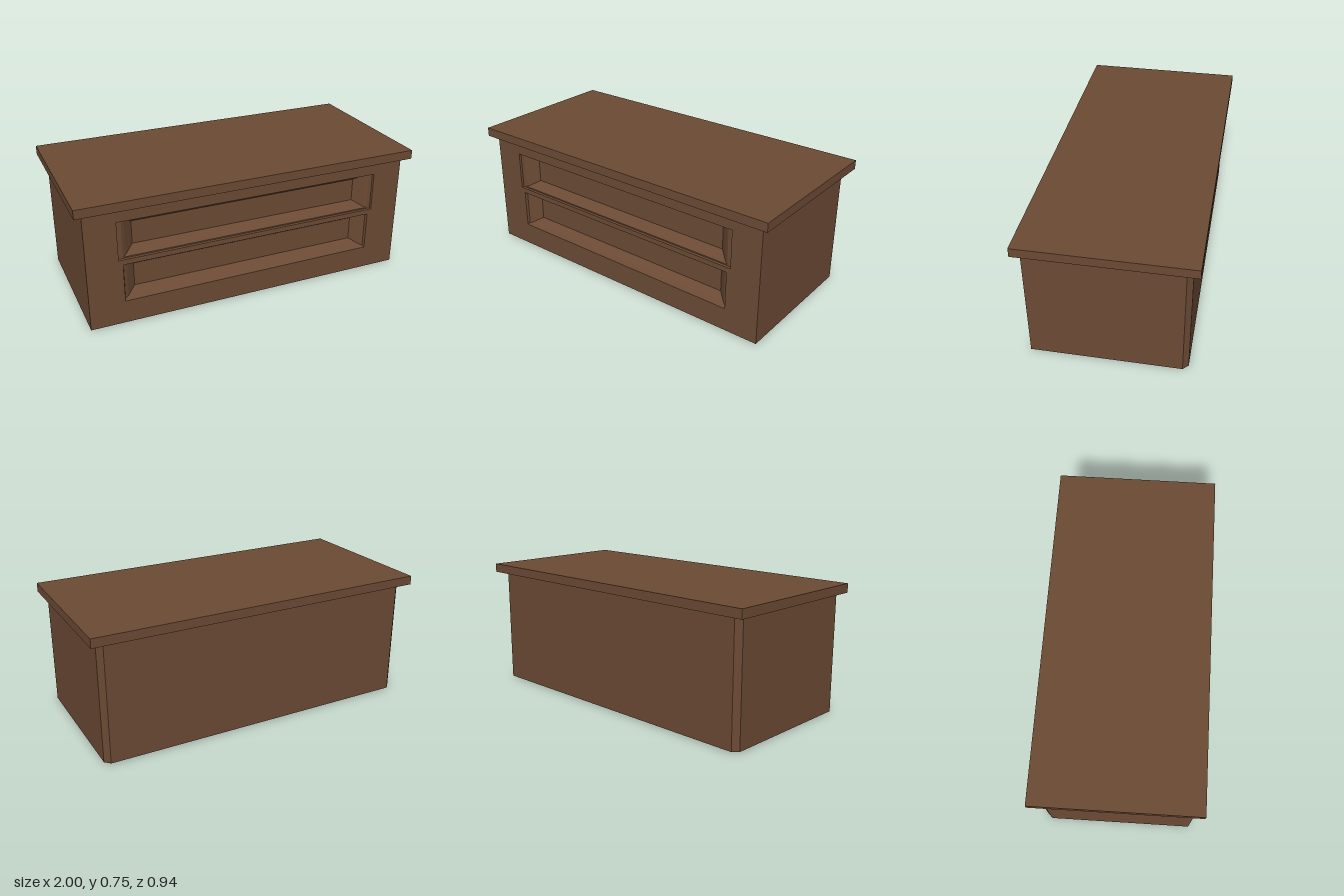
import * as THREE from 'three';

// Flat-shaded skin through a list of rings (arrays of [x, y, z], counter-clockwise).
// skip(level, side) leaves a side open; capStart / capEnd close the ends.
function loft(rings, { capStart = false, capEnd = false, skip = () => false } = {}) {
  const pos = [];
  const tri = (a, b, c) => pos.push(...a, ...b, ...c);
  const n = rings[0].length;
  for (let r = 0; r < rings.length - 1; r++) {
    const a = rings[r], b = rings[r + 1];
    for (let i = 0; i < n; i++) {
      if (skip(r, i)) continue;
      const j = (i + 1) % n;
      tri(a[i], a[j], b[j]);
      tri(a[i], b[j], b[i]);
    }
  }
  const first = rings[0], last = rings[rings.length - 1];
  for (let i = 1; i < n - 1; i++) {
    if (capStart) tri(first[0], first[i + 1], first[i]);
    if (capEnd) tri(last[0], last[i], last[i + 1]);
  }
  const g = new THREE.BufferGeometry();
  g.setAttribute('position', new THREE.Float32BufferAttribute(pos, 3));
  g.computeVertexNormals();
  return g;
}

const W = 0.955, D = 0.43, H = 0.697, BASE = 0.005;

// Horizontal rectangle, and upright rectangle facing the front
const flatRect = (x, z, y) => [[-x, y, z], [x, y, z], [x, y, -z], [-x, y, -z]];
const faceRect = ([x, y0, y1, depth]) => {
  const z = D - depth;
  return [[-x, y0, z], [x, y0, z], [x, y1, z], [-x, y1, z]];
};

// Floor plan of the body with chamfered back corners
const plan = (y, sx = 1, sz = 1) =>
  [[-W, D], [W, D], [W, -0.4], [0.925, -D], [-0.925, -D], [-W, -0.4]].map(([x, z]) => [x * sx, y, z * sz]);

// Recessed drawer panels: half width, bottom, top, depth, from rim to floor
const drawers = {
  upperDrawer: [
    [0.778, 0.395, 0.62, 0],
    [0.775, 0.398, 0.618, 0.012],
    [0.75, 0.405, 0.616, 0.012],
    [0.73, 0.413, 0.613, 0.025],
    [0.68, 0.444, 0.578, 0.07],
  ],
  lowerDrawer: [
    [0.755, 0.14, 0.365, 0],
    [0.75, 0.146, 0.362, 0.015],
    [0.73, 0.155, 0.358, 0.025],
    [0.68, 0.185, 0.322, 0.07],
  ],
};

export function createModel() {
  const group = new THREE.Group();
  const wood = new THREE.MeshStandardMaterial({ color: 0x6b4a34 });
  wood.name = 'brown wood';
  const add = (name, geometry) => {
    const mesh = new THREE.Mesh(geometry, wood);
    mesh.name = name;
    group.add(mesh);
  };

  // Body sides, back and slightly bevelled base; the front is a separate panel
  add('body', loft([plan(0, 0.99, 0.955), plan(BASE), plan(H)], {
    capStart: true,
    skip: (level, side) => level === 1 && side === 0,
  }));

  // Front panel with an opening for each drawer
  const front = new THREE.Shape([
    new THREE.Vector2(-W, BASE), new THREE.Vector2(W, BASE),
    new THREE.Vector2(W, H), new THREE.Vector2(-W, H),
  ]);
  for (const rings of Object.values(drawers)) {
    const rim = faceRect(rings[0]).map(([x, y]) => new THREE.Vector2(x, y));
    front.holes.push(new THREE.Path(rim.reverse()));
  }
  add('frontPanel', new THREE.ShapeGeometry(front).translate(0, 0, D));

  // Sunken drawer fronts
  for (const [name, rings] of Object.entries(drawers)) {
    add(name, loft(rings.map(faceRect), { capEnd: true }));
  }

  // Overhanging top with a gently sloped underside
  add('top', loft([
    flatRect(0.955, D, 0.693), flatRect(1, 0.47, 0.698), flatRect(1, 0.47, 0.75),
  ], { capStart: true, capEnd: true }));

  return group;
}
